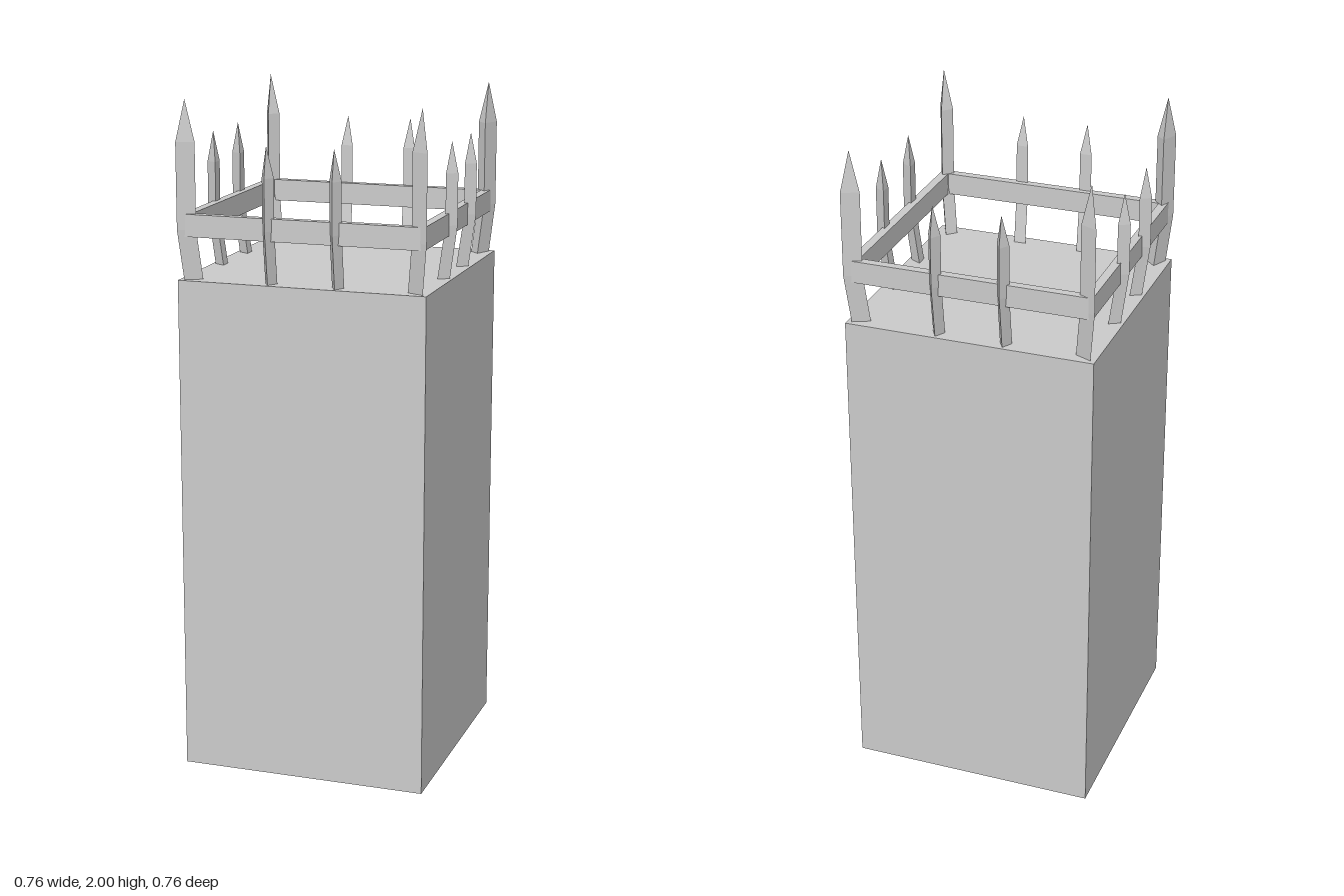
import * as THREE from 'three';

const material = new THREE.MeshStandardMaterial({ color: 0xcccccc, flatShading: true, side: THREE.DoubleSide });
const HALF = 0.37, TOP = 1.485;

function addMesh(parent, name, geometry) {
  const mesh = new THREE.Mesh(geometry, material);
  mesh.name = name;
  parent.add(mesh);
  return mesh;
}

// Three-sided stake leaning outward from its foot, then upright, then pointed.
// Sections are triangles: flat side towards the tower, one edge outward (+z).
function stakeGeometry({ halfWidth, sections, tip }) {
  const rings = sections.map(([y, inner, outer]) => [
    [-halfWidth, y, inner], [0, y, outer], [halfWidth, y, inner],
  ]);
  rings.push([tip, tip, tip]);
  const pos = [];
  for (let r = 0; r < rings.length - 1; r++) {
    for (let i = 0; i < 3; i++) {
      const j = (i + 1) % 3;
      const [a, b, c, d] = [rings[r][i], rings[r][j], rings[r + 1][j], rings[r + 1][i]];
      pos.push(...a, ...b, ...c);
      if (r < rings.length - 2) pos.push(...a, ...c, ...d);
    }
  }
  const geometry = new THREE.BufferGeometry();
  geometry.setAttribute('position', new THREE.Float32BufferAttribute(pos, 3));
  geometry.computeVertexNormals();
  return geometry;
}

function squarePath(path, h) {
  path.moveTo(-h, -h);
  path.lineTo(h, -h);
  path.lineTo(h, h);
  path.lineTo(-h, h);
  path.closePath();
  return path;
}

export function createModel() {
  const model = new THREE.Group();
  model.name = 'tower';

  // Tower walls, open underneath, with a flat roof deck
  const walls = new THREE.CylinderGeometry(HALF * Math.SQRT2, HALF * Math.SQRT2, TOP, 4, 1, true);
  walls.rotateY(Math.PI / 4).translate(0, TOP / 2, 0);
  addMesh(model, 'walls', walls);
  const deck = new THREE.PlaneGeometry(HALF * 2, HALF * 2);
  deck.rotateX(-Math.PI / 2).translate(0, TOP, 0);
  addMesh(model, 'deck', deck);

  // Square rail joining the stakes
  const frame = squarePath(new THREE.Shape(), 0.36);
  frame.holes.push(squarePath(new THREE.Path(), 0.334));
  const rail = new THREE.ExtrudeGeometry(frame, { depth: 0.065, bevelEnabled: false });
  rail.rotateX(-Math.PI / 2).translate(0, 1.61, 0);
  addMesh(model, 'rail', rail);

  // Tall corner stakes and two shorter stakes per side
  const cornerStake = stakeGeometry({
    halfWidth: 0.019,
    sections: [[TOP, 0.452, 0.503], [1.63, 0.472, 0.523], [1.88, 0.472, 0.523]],
    tip: [0, 2, 0.493],
  });
  const sideStake = stakeGeometry({
    halfWidth: 0.018,
    sections: [[TOP, 0.329, 0.361], [1.64, 0.351, 0.382], [1.79, 0.351, 0.382]],
    tip: [0, 1.88, 0.363],
  });
  for (let k = 0; k < 4; k++) {
    const side = new THREE.Group();
    side.name = 'stakeRow';
    side.rotation.y = k * Math.PI / 2;
    addMesh(side, 'cornerStake', cornerStake).rotation.y = Math.PI / 4;
    for (const x of [-0.1, 0.1]) addMesh(side, 'sideStake', sideStake).position.x = x;
    model.add(side);
  }
  return model;
}
